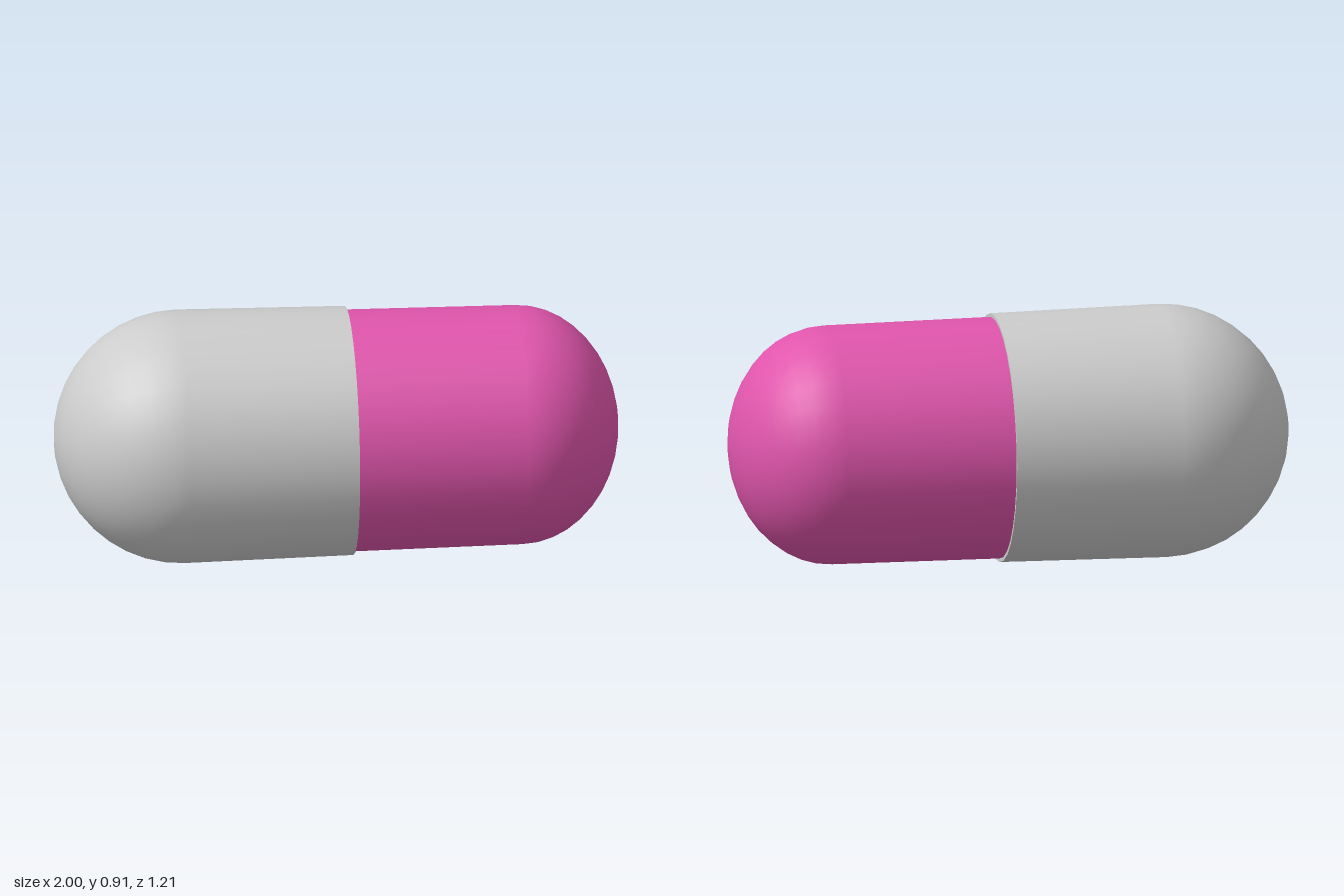
import * as THREE from 'three';

const SIDES = 32;

// Half a capsule along +y: straight wall from the seam, then a rounded end.
function halfShell(seamRadius, endRadius, wall, domeDepth) {
  const points = [new THREE.Vector2(seamRadius, 0)];
  const steps = 10;
  for (let i = 0; i <= steps; i++) {
    const a = (i / steps) * Math.PI / 2;
    points.push(new THREE.Vector2(i === steps ? 0 : endRadius * Math.cos(a), wall + domeDepth * Math.sin(a)));
  }
  return new THREE.LatheGeometry(points, SIDES);
}

export function createModel() {
  const grey = new THREE.MeshStandardMaterial({ color: 0xcccccc, side: THREE.DoubleSide });
  const pink = new THREE.MeshStandardMaterial({ color: 0xe055ac, side: THREE.DoubleSide });
  const model = new THREE.Group();
  model.name = 'capsule';

  const add = (name, geometry, material) => {
    const mesh = new THREE.Mesh(geometry, material);
    mesh.name = name;
    model.add(mesh);
    return mesh;
  };

  // Wider outer half with a full round end
  add('outerHalf', halfShell(0.449, 0.457, 0.612, 0.455), grey).rotation.x = Math.PI;

  // Narrow step where the outer half overlaps the inner half
  add('outerRim', new THREE.RingGeometry(0.434, 0.449, SIDES, 1), grey).rotation.x = -Math.PI / 2;

  // Slightly slimmer inner half with a flatter end
  add('innerHalf', halfShell(0.436, 0.431, 0.612, 0.36), pink);

  // Lay the capsule down and turn its inner half towards the front
  model.rotation.set(0, -THREE.MathUtils.degToRad(15.6), -Math.PI / 2, 'YXZ');
  model.position.set(0.045, 0.457, 0.016);

  const root = new THREE.Group();
  root.name = 'pill';
  root.add(model);
  return root;
}
